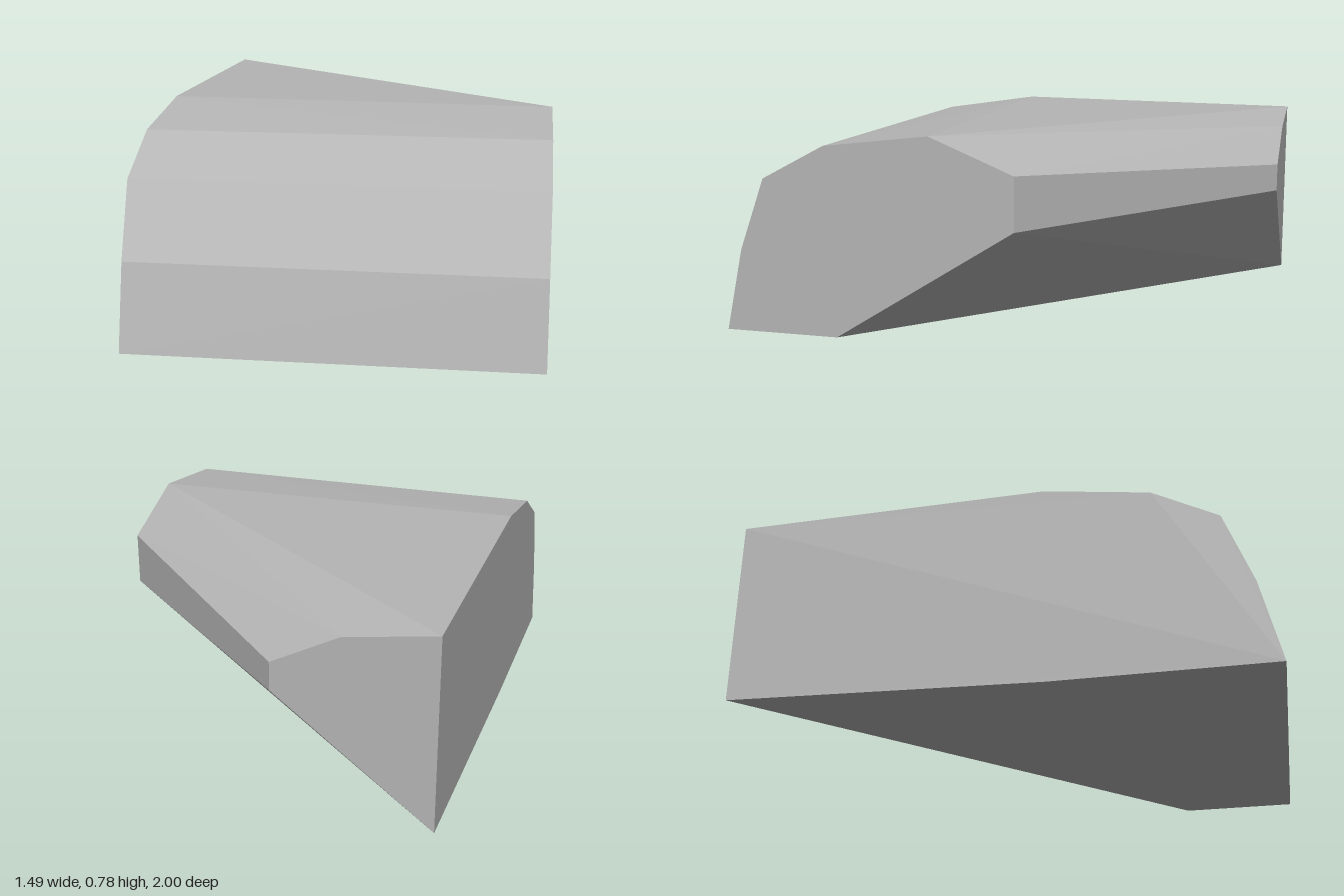
import * as THREE from 'three';
import { ConvexGeometry } from 'three/addons/geometries/ConvexGeometry.js';

export function createModel() {
  const group = new THREE.Group();
  group.name = 'facetedBlock';
  const grey = new THREE.MeshStandardMaterial({ color: 0xb4b4b4 });
  grey.name = 'grey';

  const at = ([x, y, z]) => new THREE.Vector3(x, y, z);
  const W = 0.745;

  // right side outline as [z, y], full length
  const rightSide = [[1, 0], [0.925, 0.315], [0.82, 0.59], [0.575, 0.72], [0.18, 0.778],
    [-1, 0.762], [-1, 0.035], [0.18, 0]].map(([z, y]) => at([-W, y, z]));

  // left side outline as [z, y], cut short by the slanted rear corner
  const leftSide = [[0.988, 0], [0.92, 0.315], [0.82, 0.59], [0.575, 0.72], [0.17, 0.768],
    [-0.148, 0.637], [-0.148, 0.435], [0.54, 0]].map(([z, y]) => at([W, y, z]));

  // remaining corners of the back end, where the slanted corner meets it
  const back = [[-0.41, 0.71, -1], [-0.16, 0.583, -1], [-0.16, 0.477, -1]].map(at);

  // flat facets stretched over the three outlines
  const body = new THREE.Mesh(new ConvexGeometry([...rightSide, ...leftSide, ...back]), grey);
  body.name = 'body';
  group.add(body);
  return group;
}
